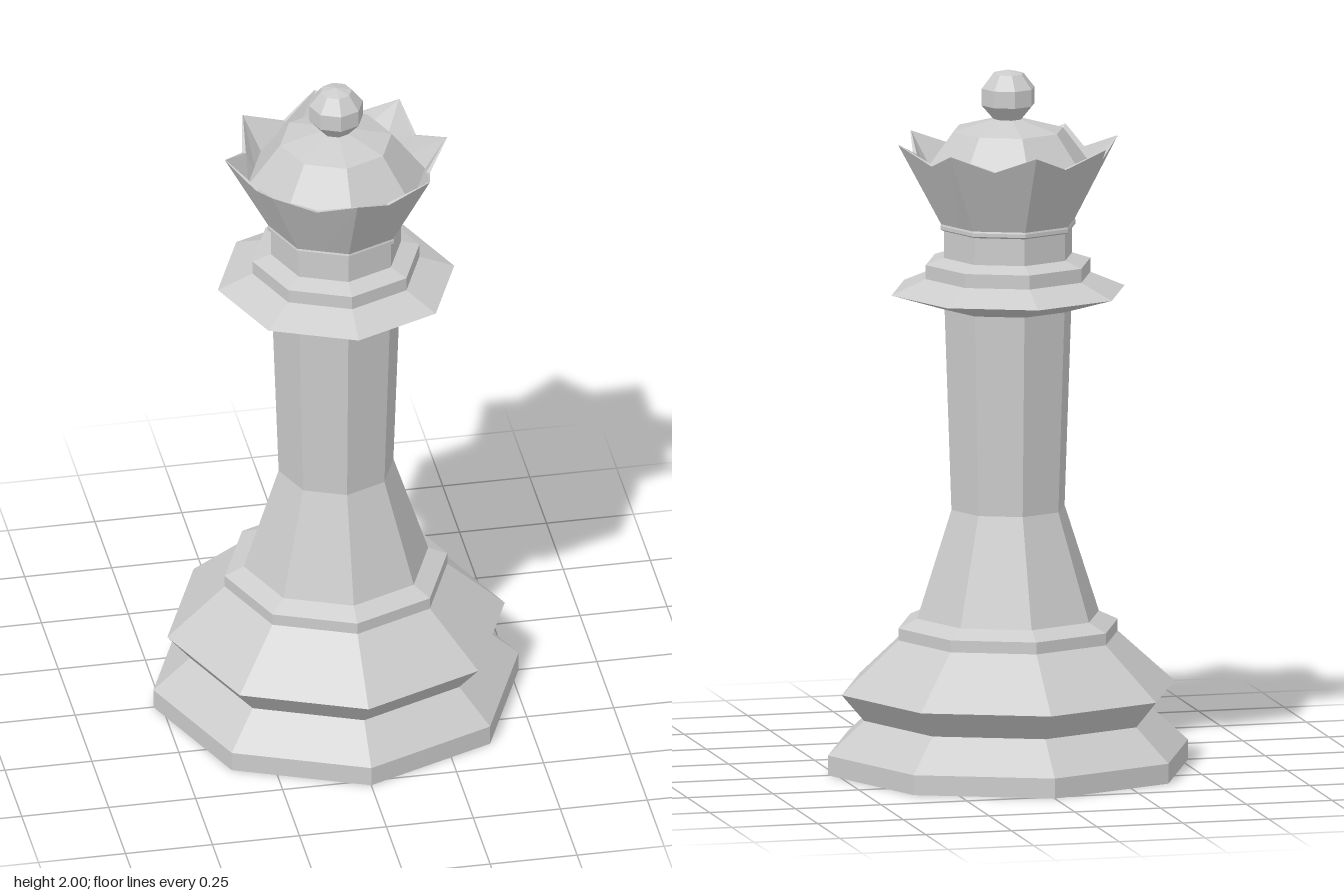
import * as THREE from 'three';

const SIDES = 8;

function createMaterial(side = THREE.FrontSide) {
  return new THREE.MeshStandardMaterial({ color: 0xcccccc, flatShading: true, side });
}

// Eight-sided turned part; profile is [radius, height] from bottom to top
function turned(name, profile) {
  const points = profile.map(([r, y]) => new THREE.Vector2(r, y));
  const mesh = new THREE.Mesh(new THREE.LatheGeometry(points, SIDES), createMaterial());
  mesh.name = name;
  return mesh;
}

// Flared crown wall: 16 columns alternating between points and notches
function crownWall() {
  const columns = SIDES * 2;
  const flat = Math.cos(Math.PI / SIDES); // notches lie on the flat octagon sides
  const tip = [[0.195, 1.565], [0.32, 1.797], [0.317, 1.797], [0.25, 1.69]];
  const notch = [[0.195, 1.565], [0.293, 1.75], [0.281, 1.75], [0.25, 1.69]];
  const rows = tip.length;
  const positions = [];
  const indices = [];
  for (let i = 0; i < columns; i++) {
    const angle = (i / columns) * Math.PI * 2;
    const scale = i % 2 ? flat : 1;
    for (const [r, y] of i % 2 ? notch : tip) {
      positions.push(Math.sin(angle) * r * scale, y, Math.cos(angle) * r * scale);
    }
    for (let j = 0; j < rows - 1; j++) {
      const a = i * rows + j;
      const b = ((i + 1) % columns) * rows + j;
      indices.push(a, b, b + 1, a, b + 1, a + 1);
    }
  }
  const geometry = new THREE.BufferGeometry();
  geometry.setAttribute('position', new THREE.Float32BufferAttribute(positions, 3));
  geometry.setIndex(indices);
  geometry.computeVertexNormals();
  const mesh = new THREE.Mesh(geometry, createMaterial(THREE.DoubleSide));
  mesh.name = 'crownWall';
  return mesh;
}

export function createModel() {
  const model = new THREE.Group();
  model.name = 'chessQueen';
  model.add(
    // Stepped foot with a pinched waist
    turned('base', [
      [0, 0], [0.525, 0], [0.525, 0.057], [0.42, 0.152],
      [0.485, 0.228], [0.32, 0.378],
    ]),
    turned('baseRing', [[0.32, 0.378], [0.32, 0.412], [0.265, 0.438]]),
    // Flared foot of the stem, then the slightly widening shaft
    turned('stem', [[0.265, 0.438], [0.165, 0.745], [0.185, 1.32]]),
    // Sharp disc with a smaller step on top
    turned('collar', [
      [0.185, 1.32], [0.34, 1.367], [0.24, 1.41], [0.24, 1.45], [0.187, 1.468],
    ]),
    turned('neck', [
      [0.187, 1.468], [0.187, 1.545], [0.197, 1.55], [0.197, 1.56], [0.195, 1.565],
    ]),
    crownWall(),
    // Dome closing the inside of the crown
    turned('dome', [[0.26, 1.695], [0.16, 1.828], [0.042, 1.86]]),
    turned('finial', [
      [0.042, 1.86], [0.077, 1.9], [0.077, 1.948], [0.045, 1.989], [0, 2],
    ]),
  );
  return model;
}
